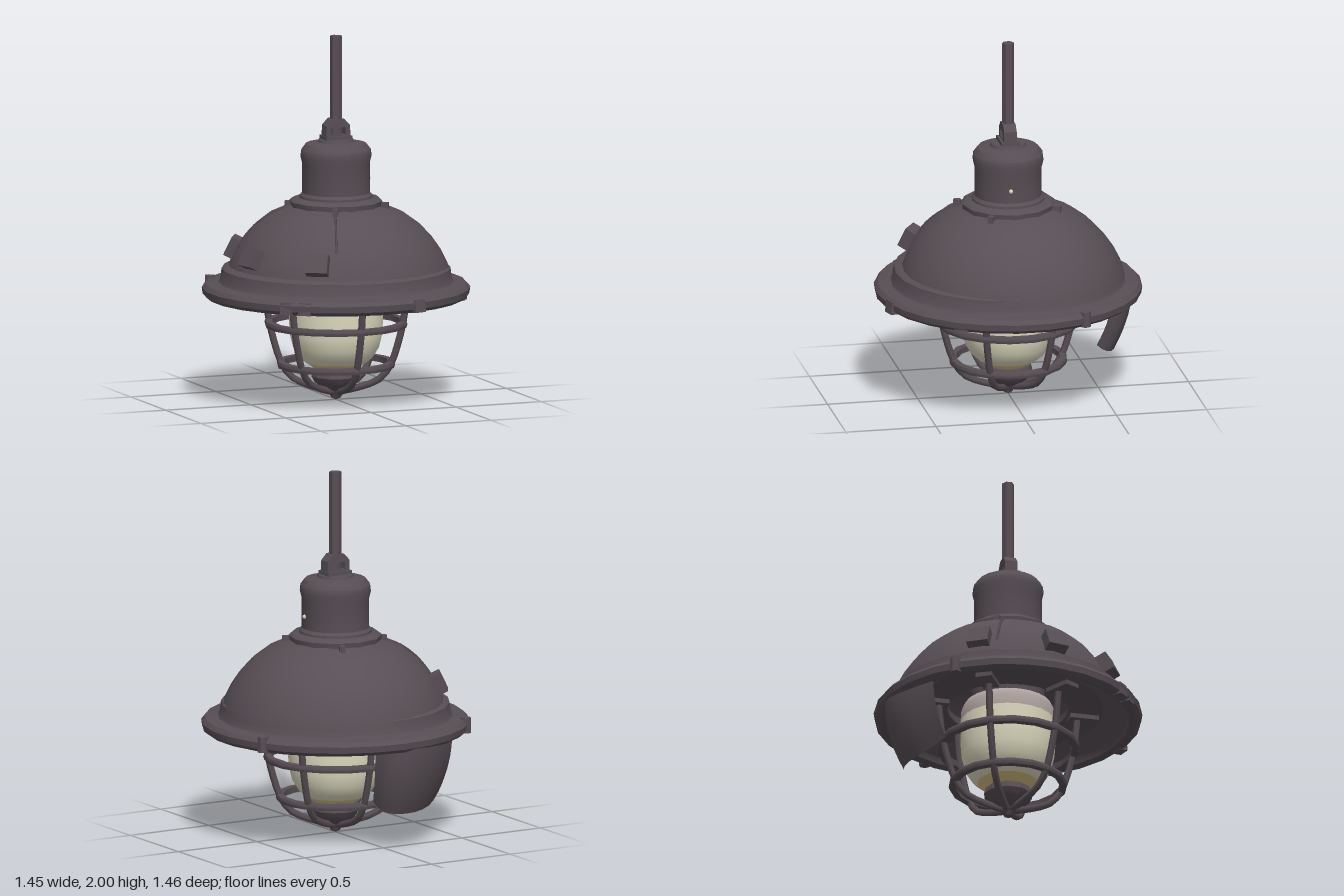
import * as THREE from 'three';
import { toCreasedNormals } from 'three/addons/utils/BufferGeometryUtils.js';

export function createModel() {
  const model = new THREE.Group();
  model.name = 'pendantLamp';
  const makeMaterial = (name, color) => {
    const m = new THREE.MeshStandardMaterial({ color });
    m.name = name;
    return m;
  };
  const iron = makeMaterial('darkIron', 0x584e55);
  const glass = makeMaterial('creamGlass', 0xdedabf);
  const frost = makeMaterial('greyGlass', 0xaea29f);
  const amber = makeMaterial('amberGlass', 0xd9c283);

  const add = (name, geometry, material = iron, x = 0, y = 0, z = 0) => {
    const mesh = new THREE.Mesh(geometry, material);
    mesh.name = name;
    mesh.position.set(x, y, z);
    model.add(mesh);
    return mesh;
  };
  const lathe = (name, pts, segments, material = iron, crease = 0.6) => add(name,
    toCreasedNormals(new THREE.LatheGeometry(pts.map(p => new THREE.Vector2(...p)), segments), crease), material);
  // Block on the shade, turned so that its local z points outwards
  const block = (name, x, y, z, size, tilt = 0) => {
    const mesh = add(name, new THREE.BoxGeometry(...size), iron, x, y, z);
    mesh.rotation.set(-tilt, Math.atan2(x, z), 0, 'YXZ');
    return mesh;
  };

  // Rim and raised lip, with the inner wall of the shade
  lathe('shadeRim', [
    [0, 1.0], [0.25, 0.99], [0.42, 0.91], [0.53, 0.79], [0.59, 0.66], [0.65, 0.61],
    [0.66, 0.575], [0.70, 0.565], [0.725, 0.585], [0.73, 0.62], [0.71, 0.643],
    [0.64, 0.65], [0.63, 0.665], [0.622, 0.725], [0.605, 0.735], [0.56, 0.74],
  ], 26);

  // Dome sits slightly off centre in the lip; the shift fades towards the collar
  const domePoints = [
    [0.61, 0.69], [0.597, 0.74], [0.565, 0.81], [0.52, 0.88], [0.455, 0.955],
    [0.37, 1.02], [0.28, 1.06], [0.2, 1.08],
  ];
  const domeGeometry = new THREE.LatheGeometry(domePoints.map(p => new THREE.Vector2(...p)), 28);
  const domePos = domeGeometry.attributes.position;
  for (let i = 0; i < domePos.count; i++) {
    const k = (1.08 - domePos.getY(i)) / 0.38;
    domePos.setX(i, domePos.getX(i) + 0.025 * k);
    domePos.setZ(i, domePos.getZ(i) - 0.02 * k);
  }
  add('shadeDome', domeGeometry);

  // Collar and neck
  lathe('collar', [[0.22, 1.05], [0.25, 1.065], [0.255, 1.095], [0.235, 1.11], [0.18, 1.115]], 12);
  lathe('neck', [
    [0.2, 1.1], [0.198, 1.125], [0.184, 1.14], [0.184, 1.3], [0.194, 1.34], [0.19, 1.375],
    [0.165, 1.408], [0.1, 1.418], [0.095, 1.432], [0, 1.435],
  ], 20);
  for (const [x, z] of [[0.11, -0.25], [0.23, 0.14], [-0.11, 0.26], [-0.23, -0.12]]) {
    block('collarTab', x, 1.07, z, [0.03, 0.04, 0.04]);
  }
  add('neckDot', new THREE.SphereGeometry(0.012, 8, 6), glass, 0.184, 1.21, 0.02);

  // Shackle with a hole, and the hanging rod
  const outline = new THREE.Shape();
  [[-0.072, 1.42], [0.072, 1.42], [0.068, 1.51], [0.035, 1.545], [-0.035, 1.545], [-0.068, 1.51]]
    .forEach(([x, y], i) => (i ? outline.lineTo(x, y) : outline.moveTo(x, y)));
  const hole = new THREE.Path();
  [[-0.04, 1.46], [-0.04, 1.5], [0.04, 1.5], [0.04, 1.46]]
    .forEach(([x, y], i) => (i ? hole.lineTo(x, y) : hole.moveTo(x, y)));
  outline.holes.push(hole);
  add('shackle', new THREE.ExtrudeGeometry(outline, { depth: 0.07, bevelEnabled: false }), iron, 0, 0, -0.035);
  add('shackleFoot', new THREE.BoxGeometry(0.15, 0.025, 0.1), iron, 0, 1.44, 0);
  add('rod', toCreasedNormals(new THREE.CylinderGeometry(0.033, 0.033, 0.56, 6), 0.5), iron, 0, 1.72, 0);

  // Square lugs on the dome
  block('domeLug', -0.47, 0.82, -0.28, [0.12, 0.11, 0.09], 0.45);
  block('domeLug', -0.54, 0.82, 0.12, [0.12, 0.11, 0.08], 0.45);
  block('domeLug', -0.3, 0.82, 0.47, [0.12, 0.11, 0.09], 0.45);

  // Bolts and clips around the rim
  for (const [x, z] of [[-0.56, -0.44], [0.645, -0.3]]) {
    const bolt = add('rimBolt', toCreasedNormals(new THREE.CylinderGeometry(0.03, 0.03, 0.085, 7), 0.5), iron, x, 0.61, z);
    bolt.rotation.y = 0.3;
  }
  for (const [x, z] of [[0.58, 0.37], [-0.41, 0.56], [-0.49, 0.5], [0.2, 0.68]]) {
    block('rimClip', x, 0.6, z, [0.07, 0.07, 0.05], 0.1);
  }

  // Raised panel seams running down the dome
  const seam = (angle, from, to) => {
    const pts = domePoints.slice(from, to).map(([r, y]) => {
      const k = (1.08 - y) / 0.38;
      return new THREE.Vector3(Math.sin(angle) * r + 0.025 * k, y, Math.cos(angle) * r - 0.02 * k);
    });
    add('domeSeam', new THREE.TubeGeometry(new THREE.CatmullRomCurve3(pts), 12, 0.006, 4));
  };
  seam(-0.4, 3, 7);
  seam(-1.9, 2, 7);

  // Glass jar, frosted near the socket and amber at the base
  lathe('jar', [
    [0.165, 0.205], [0.2, 0.235], [0.235, 0.29], [0.252, 0.36], [0.258, 0.44], [0.258, 0.57],
  ], 24, glass, 1.2);
  lathe('jarBase', [[0, 0.165], [0.11, 0.17], [0.165, 0.205]], 24, amber, 1.2);
  lathe('jarTop', [[0.258, 0.57], [0.255, 0.63], [0.235, 0.67], [0.17, 0.69]], 24, frost, 1.2);
  lathe('socket', [[0, 0.675], [0.2, 0.675], [0.2, 0.99]], 16);

  // Base cap and the nub under it
  lathe('baseCap', [[0, 0.05], [0.06, 0.055], [0.115, 0.095], [0.135, 0.13], [0.125, 0.165], [0, 0.17]], 10);
  lathe('bottomNub', [[0, 0.0], [0.025, 0.01], [0.045, 0.045], [0.06, 0.06], [0, 0.08]], 6, iron, 0.4);

  // Cage rings: flat bands around the bars
  const ring = (y, r) => lathe('cageRing', [
    [r - 0.035, y - 0.017], [r, y - 0.017], [r + 0.006, y], [r, y + 0.017],
    [r - 0.035, y + 0.017], [r - 0.035, y - 0.017],
  ], 18, iron, 0.7);
  ring(0.42, 0.386);
  ring(0.197, 0.318);

  // Six cage bars, each bent in towards the nub
  const path = new THREE.CatmullRomCurve3([
    [0.39, 0.64], [0.37, 0.45], [0.335, 0.3], [0.295, 0.19], [0.235, 0.115], [0.11, 0.065], [0.02, 0.045],
  ].map(([r, y]) => new THREE.Vector3(0, y, r)));
  const barGeometry = new THREE.TubeGeometry(path, 14, 0.02, 5);
  for (let i = 0; i < 6; i++) {
    const a = i * Math.PI / 3;
    add('cageBar', barGeometry).rotation.y = a;
    block('cageFoot', Math.sin(a) * 0.42, 0.64, Math.cos(a) * 0.42, [0.09, 0.03, 0.16]);
  }
  // Inner ring holding the cage inside the shade
  lathe('cageMount', [[0.33, 0.65], [0.52, 0.65], [0.55, 0.69], [0.33, 0.69], [0.33, 0.65]], 24);

  // Curved flap hanging from the back of the rim, one-sided, drawn in at the foot
  const edge = new THREE.CatmullRomCurve3([
    [0.09, -0.565], [0.05, -0.655], [-0.07, -0.71], [-0.25, -0.655], [-0.42, -0.53],
  ].map(([x, z]) => new THREE.Vector3(x, 0, z)));
  const flapGeometry = new THREE.PlaneGeometry(1, 1, 10, 8);
  const flapPos = flapGeometry.attributes.position;
  for (let i = 0; i < flapPos.count; i++) {
    const u = flapPos.getX(i) + 0.5;
    const v = 0.5 - flapPos.getY(i);
    const p = edge.getPoint(u);
    const drop = 0.4 - 0.06 * Math.pow(Math.abs(2 * u - 1), 3);
    const pull = 1 - 0.15 * v * v;
    flapPos.setXYZ(i, -0.15 + (p.x + 0.15) * (1 - 0.15 * v * v), 0.6 - drop * v, p.z * pull);
  }
  flapGeometry.computeVertexNormals();
  add('rearFlap', flapGeometry);

  return model;
}
